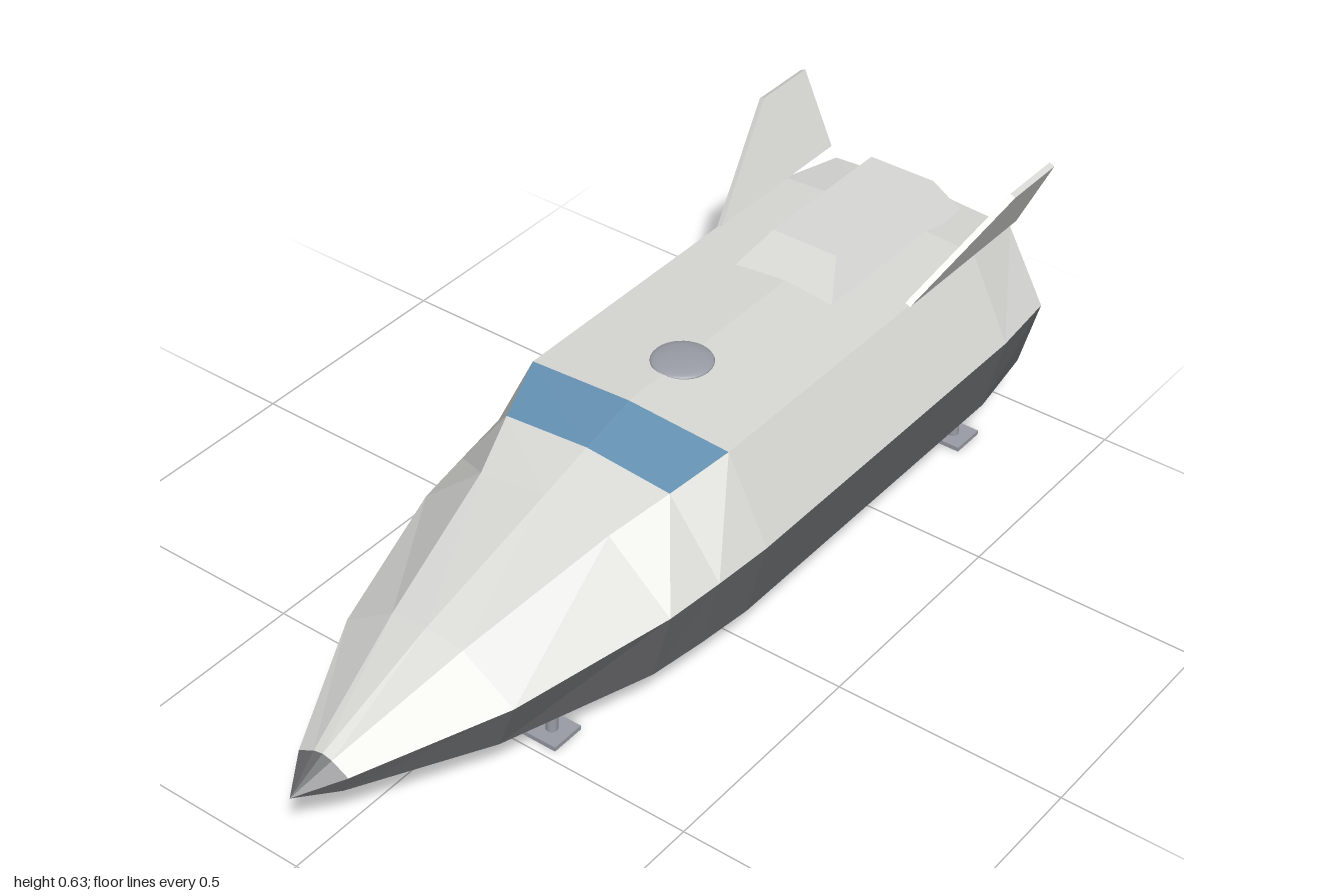
import * as THREE from 'three';

const mat = (name, color) => {
  const m = new THREE.MeshStandardMaterial({ color });
  m.name = name;
  return m;
};

export function createModel() {
  const ship = new THREE.Group();
  ship.name = 'shuttle';
  const hull = mat('hull white', 0xd9dad6);
  const belly = mat('belly grey', 0x6c6d6f);
  const glass = mat('window blue', 0x6490b2);
  const nose = mat('nose grey', 0x696a6c);
  const metal = mat('gear metal', 0x9a9da6);

  const add = (name, geo, material, parent = ship) => {
    const m = new THREE.Mesh(geo, material);
    m.name = name;
    parent.add(m);
    return m;
  };
  const flat = (pos) => {
    const g = new THREE.BufferGeometry();
    g.setAttribute('position', new THREE.Float32BufferAttribute(pos.flat(), 3));
    g.computeVertexNormals();
    return g;
  };

  // Hull cross-sections: x, bottom z/y, side z/y, shoulder z/y, ridge y
  const ring = ([x, bz, by, sz, sy, tz, ty, ry]) => [
    [x, by, bz], [x, sy, sz], [x, ty, tz], [x, ry, 0],
    [x, ty, -tz], [x, sy, -sz], [x, by, -bz],
  ];
  const rings = [
    [-1, 0, 0.17, 0, 0.17, 0, 0.17, 0.17],
    [-0.91, 0.045, 0.147, 0.06, 0.186, 0.022, 0.207, 0.212],
    [-0.62, 0.165, 0.115, 0.203, 0.222, 0.085, 0.3, 0.312],
    [-0.28, 0.26, 0.098, 0.3, 0.258, 0.155, 0.385, 0.404],
    [-0.15, 0.277, 0.097, 0.317, 0.266, 0.198, 0.424, 0.44],
    [-0.02, 0.29, 0.097, 0.332, 0.275, 0.238, 0.462, 0.475],
    [0.83, 0.29, 0.097, 0.332, 0.275, 0.238, 0.462, 0.475],
    [1, 0.27, 0.108, 0.314, 0.271, 0.222, 0.434, 0.447],
  ].map(ring);

  // Sort the skin panels by colour
  const panels = { upperHull: [], lowerHull: [], windshield: [], noseCap: [] };
  for (let i = 0; i < rings.length - 1; i++) {
    for (let j = 0; j < 7; j++) {
      const k = (j + 1) % 7;
      const a = rings[i][j], b = rings[i + 1][j], c = rings[i + 1][k], d = rings[i][k];
      const part = i === 0 ? 'noseCap'
        : j === 0 || j > 4 ? 'lowerHull'
        : i === 4 && (j === 2 || j === 3) ? 'windshield' : 'upperHull';
      panels[part].push(...a, ...b, ...c);
      if (i > 0) panels[part].push(...a, ...c, ...d);
    }
  }
  // Flat stern
  const stern = rings[rings.length - 1];
  for (let j = 1; j < 6; j++) panels.upperHull.push(...stern[0], ...stern[j + 1], ...stern[j]);
  const skin = { upperHull: hull, lowerHull: belly, windshield: glass, noseCap: nose };
  for (const name in panels) add(name, flat(panels[name]), skin[name]);

  // Dorsal housing: a box with its upper corners drawn in
  const housing = new THREE.BoxGeometry(1, 1, 1).toNonIndexed();
  const p = housing.attributes.position;
  for (let i = 0; i < p.count; i++) {
    const top = p.getY(i) > 0, rear = p.getX(i) > 0;
    p.setXYZ(i, rear ? (top ? 0.915 : 0.955) : (top ? 0.56 : 0.48),
      top ? 0.533 : 0.46, Math.sign(p.getZ(i)) * (top ? 0.078 : 0.125));
  }
  housing.computeVertexNormals();
  add('dorsalHousing', housing, hull);

  // Shallow roof hatch
  const dome = new THREE.SphereGeometry(0.064, 32, 16);
  dome.scale(1, 0.17, 1);
  add('roofHatch', dome, metal).position.set(0.15, 0.473, 0);

  // Splayed tail fins
  const finShape = new THREE.Shape([[0.59, 0], [0.99, 0], [0.99, 0.18], [0.84, 0.18]]
    .map(([x, y]) => new THREE.Vector2(x, y)));
  for (const s of [1, -1]) {
    const geo = new THREE.ExtrudeGeometry(finShape, { depth: 0.013, bevelEnabled: false });
    geo.translate(0, 0, -0.0065);
    const fin = add('tailFin', geo, hull);
    fin.position.set(0, 0.463, s * 0.235);
    fin.rotation.x = s * 0.44;
  }

  // Stern ramp under the tail
  const ramp = add('sternRamp', new THREE.BoxGeometry(0.17, 0.014, 0.42), belly);
  ramp.position.set(0.914, 0.097, 0);
  ramp.rotation.z = -0.015;

  // Landing gear
  for (const [x, z] of [[-0.44, 0.141], [0.81, 0.235]]) {
    for (const s of [1, -1]) {
      const leg = new THREE.Group();
      leg.name = 'landingLeg';
      leg.position.set(x, 0, s * z);
      add('strut', new THREE.CylinderGeometry(0.0125, 0.0125, 0.11, 20), metal, leg).position.y = 0.06;
      add('footPad', new THREE.BoxGeometry(0.078, 0.01, 0.078), metal, leg).position.y = 0.005;
      ship.add(leg);
    }
  }
  return ship;
}
